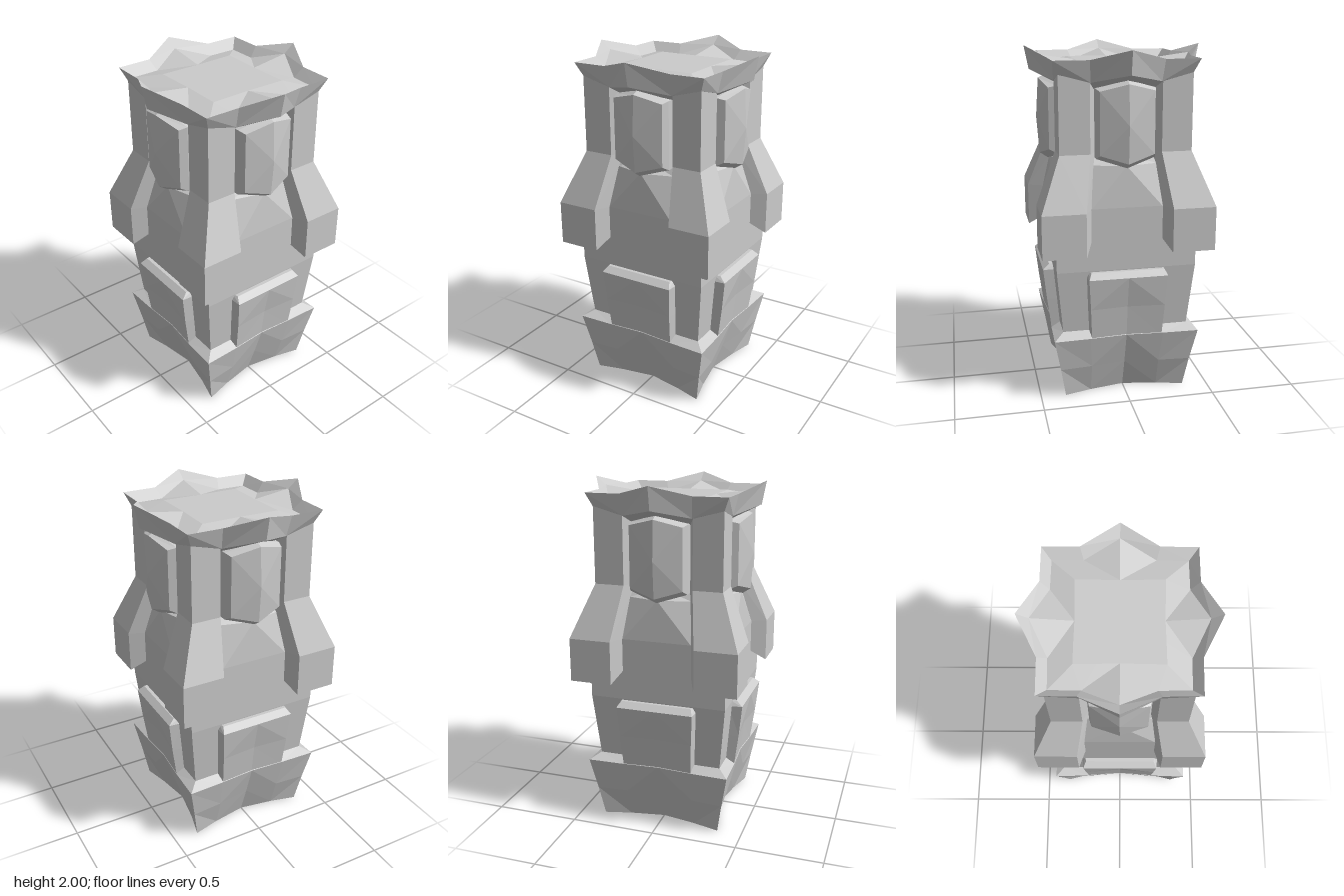
import * as THREE from 'three';

const grey = new THREE.MeshStandardMaterial({ color: 0xcccccc, flatShading: true });

// Skins rows of points; diagonals alternate so that both halves mirror each other.
// startTip / endTip close the first / last row of a loop with a fan.
function skin(name, rows, { closed = true, phase = 0, startTip, endTip } = {}) {
  const pos = [];
  const tri = (...pts) => pts.forEach((p) => pos.push(...p));
  const n = rows[0].length;
  const count = closed ? n : n - 1;
  for (let r = 0; r < rows.length - 1; r++) {
    for (let i = 0; i < count; i++) {
      const j = (i + 1) % n;
      const a = rows[r][i], b = rows[r][j], c = rows[r + 1][j], d = rows[r + 1][i];
      if ((i + phase) % 2 === 0) { tri(a, b, c); tri(a, c, d); }
      else { tri(a, b, d); tri(b, c, d); }
    }
  }
  for (let i = 0; i < n; i++) {
    const j = (i + 1) % n;
    if (startTip) tri(rows[0][j], rows[0][i], startTip);
    if (endTip) tri(rows[rows.length - 1][i], rows[rows.length - 1][j], endTip);
  }
  const geo = new THREE.BufferGeometry();
  geo.setAttribute('position', new THREE.Float32BufferAttribute(pos, 3));
  geo.computeVertexNormals();
  const mesh = new THREE.Mesh(geo, grey);
  mesh.name = name;
  return mesh;
}

// Four-sided ring: corner (c, yc), shoulder (e, ze, ye) and middle (m, ym) of each side
function ring(c, yc, e, ze, ye, m, ym) {
  const side = [[-e, ye, ze], [0, ym, m], [e, ye, ze], [c, yc, c]];
  const pts = [];
  for (let k = 0; k < 4; k++) {
    for (const p of side) {
      let [x, y, z] = p;
      for (let t = 0; t < k; t++) [x, z] = [z, -x];
      pts.push([x, y, z]);
    }
  }
  return pts;
}
const level = (y, c, e, ze, m) => ring(c, y, e, ze, y, m, y);

// Raised panel on the lower body, its centre slightly hollow
function panel() {
  const row = (y, b, zb, w, z, m) => [[-b, y, zb], [-w, y, z], [0, y, m], [w, y, z], [b, y, zb]];
  return skin('lowerPanel', [
    row(0.36, 0.215, 0.34, 0.205, 0.41, 0.395),
    row(0.56, 0.225, 0.36, 0.215, 0.437, 0.42),
    row(0.745, 0.232, 0.38, 0.226, 0.457, 0.457),
    row(0.775, 0.215, 0.38, 0.208, 0.42, 0.42),
    row(0.775, 0.21, 0.37, 0.2, 0.38, 0.38),
  ], { closed: false, phase: 1 });
}

// Faceted hexagonal window
function windowGem() {
  const hex = (w, y0, y1, y2, y3, zMid, zSide) => [
    [0, y0, zMid], [w, y1, zSide], [w, y2, zSide],
    [0, y3, zMid], [-w, y2, zSide], [-w, y1, zSide],
  ];
  return skin('window', [
    hex(0.165, 1.36, 1.41, 1.79, 1.84, 0.27, 0.27),
    hex(0.165, 1.36, 1.41, 1.79, 1.84, 0.39, 0.35),
    hex(0.152, 1.39, 1.435, 1.78, 1.82, 0.435, 0.397),
  ], { endTip: [0, 1.6, 0.45] });
}

// Angle-shaped post wrapped round a corner, flaring at the foot
function post() {
  const row = (y, c, e, zi, k, yi = y) => {
    const f = e - 0.04;
    return [[e, y, c], [c, y, c], [c, y, e], [zi, yi, f], [k, yi, k], [f, yi, zi]];
  };
  return skin('cornerPost', [
    row(0.89, 0.487, 0.243, 0.4, 0.385, 0.95),
    row(1.14, 0.487, 0.243, 0.4, 0.385),
    row(1.44, 0.37, 0.2, 0.29, 0.28),
    row(1.88, 0.37, 0.2, 0.29, 0.28),
  ], { startTip: [0.465, 0.89, 0.465] });
}

export function createModel() {
  const model = new THREE.Group();

  // Flared foot with hollowed sides and a shallow recess underneath
  model.add(skin('base', [
    level(0.05, 0.315, 0.18, 0.275, 0.245),
    level(0, 0.32, 0.18, 0.275, 0.245),
    level(0, 0.355, 0.2, 0.315, 0.28),
    level(0.18, 0.385, 0.2, 0.37, 0.34),
    level(0.375, 0.422, 0.215, 0.415, 0.4),
    level(0.41, 0.365, 0.2, 0.365, 0.365),
  ], { startTip: [0, 0.05, 0] }));

  // Core, drawing in above the waist
  model.add(skin('body', [
    level(0.39, 0.363, 0.2, 0.363, 0.363),
    level(0.78, 0.4, 0.2, 0.4, 0.4),
    level(1.14, 0.4, 0.2, 0.4, 0.4),
    level(1.37, 0.32, 0.18, 0.33, 0.38),
    level(1.42, 0.3, 0.17, 0.3, 0.3),
    level(1.84, 0.3, 0.17, 0.3, 0.3),
  ]));

  // Pointed crown with a sloping rim and low raised roof
  model.add(skin('crown', [
    ring(0.3, 1.8, 0.165, 0.3, 1.78, 0.36, 1.82),
    ring(0.37, 1.87, 0.195, 0.372, 1.825, 0.485, 1.87),
    ring(0.402, 1.945, 0.205, 0.404, 1.945, 0.51, 2),
    ring(0.352, 1.89, 0.187, 0.355, 1.89, 0.448, 1.95),
    level(1.92, 0.23, 0.115, 0.228, 0.225),
  ], { endTip: [0, 1.92, 0] }));

  // Repeated parts on the four sides and corners
  for (let k = 0; k < 4; k++) {
    const quarter = new THREE.Group();
    quarter.name = 'side' + (k + 1);
    quarter.add(panel(), windowGem(), post());
    quarter.rotation.y = (k * Math.PI) / 2;
    model.add(quarter);
  }
  return model;
}
